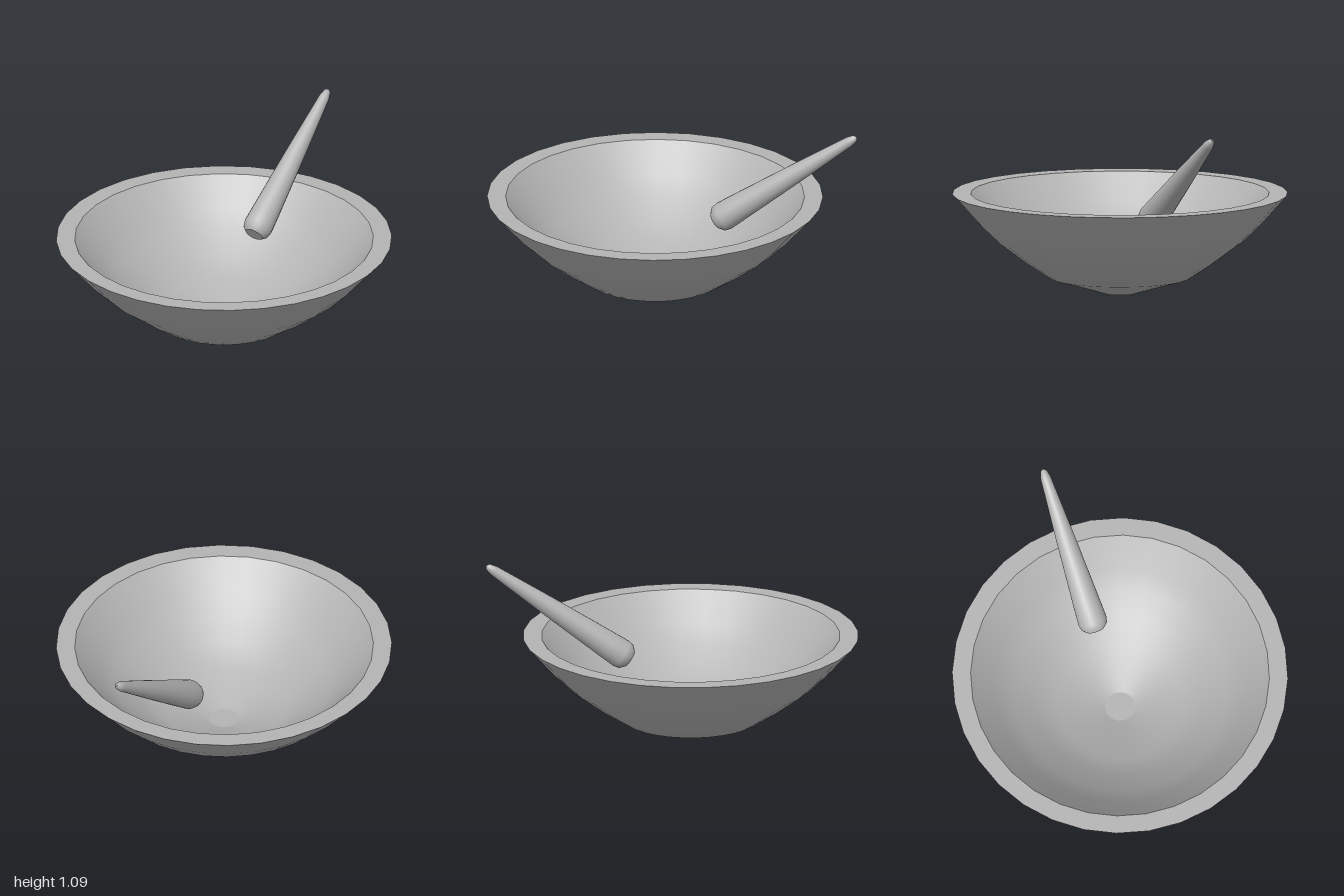
import * as THREE from 'three';

const SIDES = 32;

// Lathe surface from [radius, height] pairs; outward when listed bottom to top
function turned(name, profile, material, sides = SIDES) {
  const points = profile.map(([r, y]) => new THREE.Vector2(r, y));
  const mesh = new THREE.Mesh(new THREE.LatheGeometry(points, sides), material);
  mesh.name = name;
  return mesh;
}

export function createModel() {
  const stone = new THREE.MeshStandardMaterial({ color: 0xb4b4b4 });
  stone.name = 'grey stone';

  const model = new THREE.Group();
  model.name = 'mortarAndPestle';

  // Bowl: separate surfaces keep the base, rim and floor edges crisp
  const bowl = new THREE.Group();
  bowl.name = 'bowl';
  bowl.add(
    turned('base', [[0, 0], [0.1, 0]], stone),
    turned('outerWall', [[0.1, 0], [0.42, 0.095], [0.57, 0.195], [0.73, 0.315], [0.84, 0.42], [1, 0.6]], stone),
    turned('rim', [[1, 0.6], [0.89, 0.6]], stone),
    turned('innerWall', [[0.89, 0.6], [0.74, 0.43], [0.64, 0.335], [0.5, 0.235], [0.37, 0.15], [0.09, 0.06]], stone),
    turned('floor', [[0.09, 0.06], [0, 0.06]], stone),
  );
  model.add(bowl);

  // Pestle: tapered rod with a blunt grinding end, leaning to the back left
  const start = new THREE.Vector3(0.25, 0.47, -0.27);
  const tip = new THREE.Vector3(0.855, 1.08, -0.878);
  const axis = tip.clone().sub(start);
  const length = axis.length();
  const pestle = new THREE.Group();
  pestle.name = 'pestle';
  pestle.add(
    turned('grindingFace', [[0, 0], [0.055, 0]], stone, 24),
    turned('shaft', [
      [0.055, 0], [0.08, 0.025], [0.088, 0.06], [0.083, 0.16], [0.058, length * 0.56],
      [0.031, length - 0.06], [0.02, length - 0.015], [0, length],
    ], stone, 24),
  );
  pestle.position.copy(start);
  pestle.quaternion.setFromUnitVectors(new THREE.Vector3(0, 1, 0), axis.normalize());
  model.add(pestle);

  return model;
}
